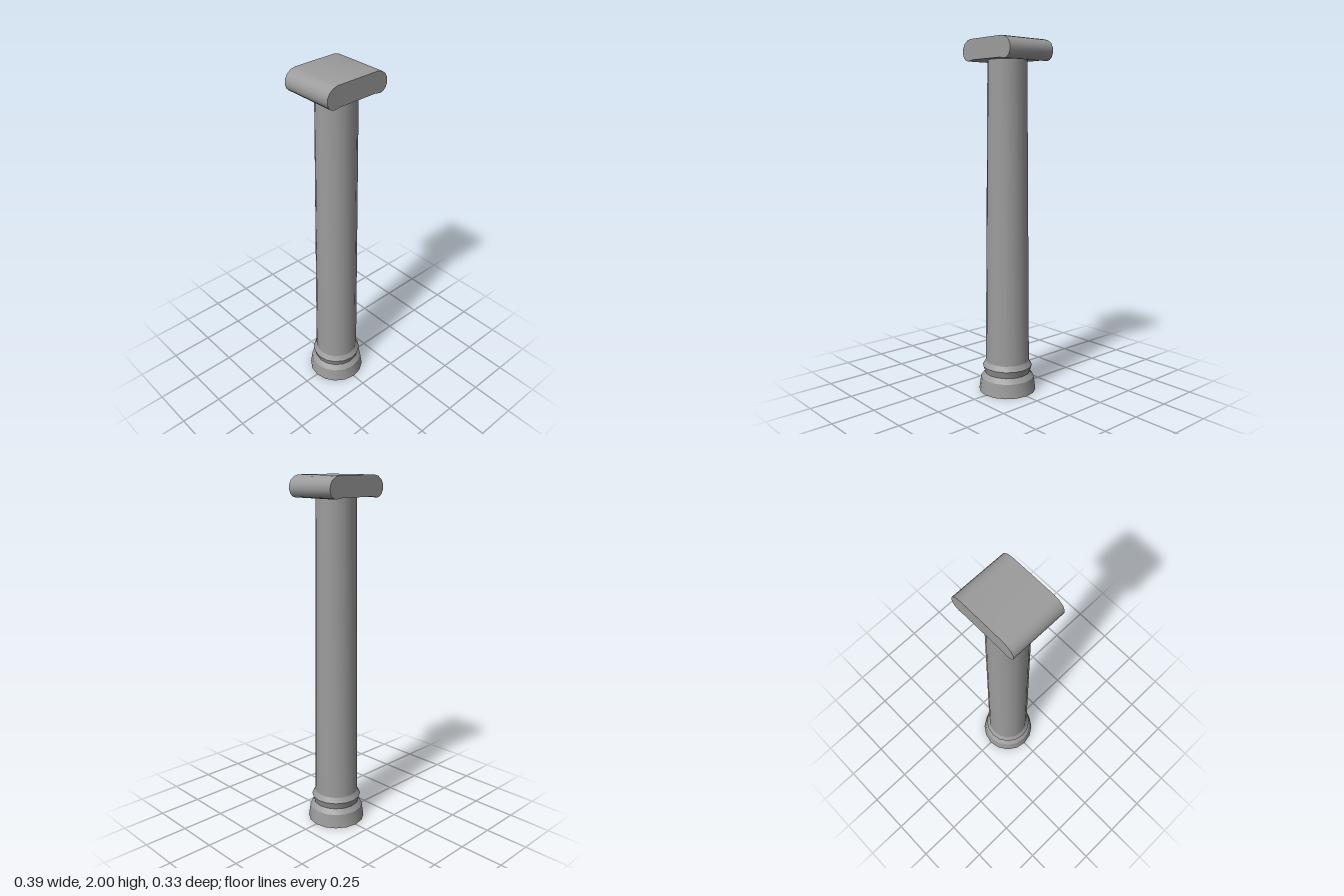
import * as THREE from 'three';
import { toCreasedNormals } from 'three/addons/utils/BufferGeometryUtils.js';

const SIDES = 16;
const CREASE = 0.48;

export function createModel() {
  const group = new THREE.Group();
  const material = new THREE.MeshStandardMaterial({ color: 0x9c9c9c, side: THREE.DoubleSide });

  const add = (name, geometry) => {
    const mesh = new THREE.Mesh(toCreasedNormals(geometry, CREASE), material);
    mesh.name = name;
    group.add(mesh);
  };
  const turned = (profile) =>
    new THREE.LatheGeometry(profile.map(([r, y]) => new THREE.Vector2(r, y)), SIDES);

  // Hollow moulded foot: flared plinth, groove and upper ring
  add('base', turned([[0.165, 0], [0.154, 0.08], [0.131, 0.108], [0.144, 0.148], [0.126, 0.177]]));

  // Gently tapering shaft
  add('shaft', turned([[0.126, 0.177], [0.11, 1.888]]));

  // Capital: right half of the scroll outline, mirrored and extruded front to back
  const half = [
    [0.128, 2], [0.157, 1.993], [0.181, 1.976], [0.194, 1.952], [0.196, 1.926],
    [0.187, 1.902], [0.172, 1.888], [0.153, 1.882], [0.112, 1.888],
  ];
  const outline = [...half, ...half.map(([x, y]) => [-x, y]).reverse()];
  const shape = new THREE.Shape(outline.map(([x, y]) => new THREE.Vector2(x, y)));
  const capital = new THREE.ExtrudeGeometry(shape, { depth: 0.312, bevelEnabled: false });
  capital.translate(0, 0, -0.157);
  add('capital', capital);

  return group;
}
